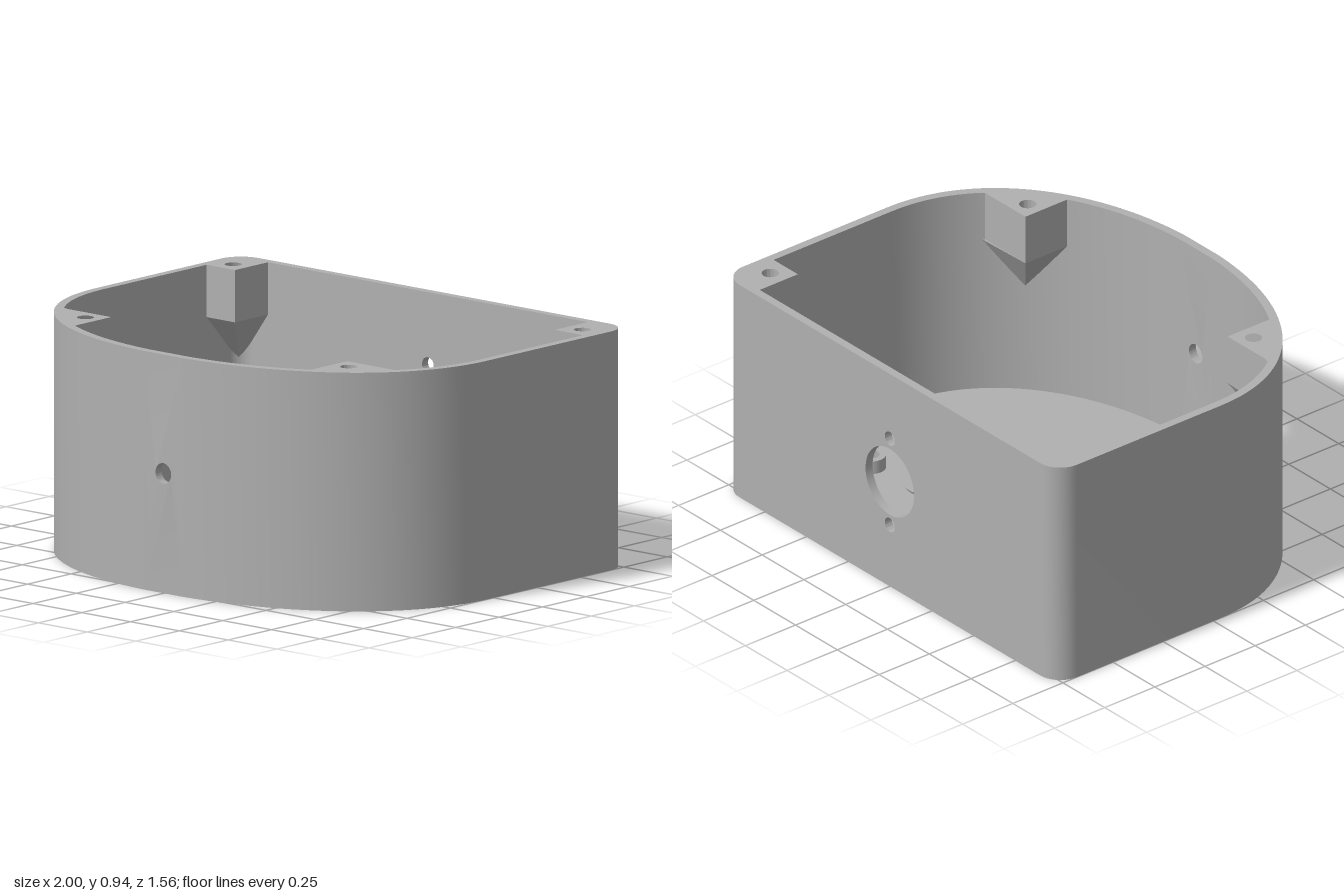
import * as THREE from 'three';
import { toCreasedNormals } from 'three/addons/utils/BufferGeometryUtils.js';
import { ConvexGeometry } from 'three/addons/geometries/ConvexGeometry.js';

const H = 0.935, T = 0.035, N = 2.15; // height, wall thickness, roundness of the front
const FRONT_Z = 0.03, BACK_Z = -0.78, PANEL_X = 0.1;
const FLOOR = [0, 0.02, 0.05, 0.075]; // floor layer heights

const v2 = (x, y) => new THREE.Vector2(x, y);

// z of the curved front at a given x
function frontZ(x, inset) {
  const u = Math.pow(Math.abs(x) / (1 - inset), N);
  return FRONT_Z + (0.75 - inset) * Math.pow(Math.max(0, 1 - u), 1 / N);
}

// Half of the plan outline, from the front at x0 round to the back corner
function halfOutline(inset, x0) {
  const a = 1 - inset, b = 0.75 - inset, pts = [];
  const t0 = Math.asin(Math.pow(x0 / a, N / 2));
  for (let i = 0; i <= 32; i++) {
    const t = t0 + (Math.PI / 2 - t0) * i / 32;
    const c = Math.max(0, Math.cos(t));
    pts.push(v2(a * Math.pow(Math.sin(t), 2 / N), FRONT_Z + b * Math.pow(c < 1e-9 ? 0 : c, 2 / N)));
  }
  const r = 0.1 - inset;
  for (let i = 0; i <= 10; i++) {
    const t = Math.PI / 2 * i / 10;
    pts.push(v2(0.9 + r * Math.cos(t), BACK_Z + 0.1 - r * Math.sin(t)));
  }
  return pts;
}

const mirror = (pts, s) => pts.map(p => v2(p.x * s, p.y));

function circle(x, y, r) {
  return new THREE.Path().absarc(x, y, r, 0, Math.PI * 2, true);
}

// Extrude a plan shape (x, z) between two heights
function slab(shape, y0, y1) {
  const g = new THREE.ExtrudeGeometry(shape, { depth: y1 - y0, bevelEnabled: false, curveSegments: 40 });
  g.rotateX(Math.PI / 2).translate(0, y1, 0);
  return toCreasedNormals(g, 0.5);
}

export function createModel() {
  const model = new THREE.Group();
  model.name = 'enclosure';
  const grey = new THREE.MeshStandardMaterial({ color: 0xb0b0b0 });
  grey.name = 'grey plastic';
  const add = (name, geometry) => {
    const m = new THREE.Mesh(geometry, grey);
    m.name = name;
    model.add(m);
  };

  // Floor in three layers: outer counterbores, through holes, inner pockets with groove
  const half = halfOutline(T - 0.002, 0);
  const floorShape = () => new THREE.Shape([...half, ...mirror(half, -1).reverse().slice(0, -1)]);
  const HX = 0.42, HZ = -0.065;
  [0.35, 0.246].forEach((r, i) => {
    const s = floorShape();
    for (const k of [-1, 1]) s.holes.push(circle(k * HX, HZ, r));
    add(i ? 'floorMiddle' : 'floorBottom', slab(s, FLOOR[i], FLOOR[i + 1]));
  });
  const pocket = [v2(0.105, -0.1), v2(0.105, 0.065)];
  const a0 = Math.atan2(0.13, -0.242), a1 = Math.atan2(-0.135, -0.24) + Math.PI * 2;
  for (let i = 0; i <= 40; i++) {
    const t = a0 + (a1 - a0 - Math.PI * 2) * i / 40;
    pocket.push(v2(HX + 0.275 * Math.cos(t), HZ + 0.275 * Math.sin(t)));
  }
  pocket.push(v2(0.105, -0.2), v2(0.105, -0.744));
  const top = floorShape();
  top.holes.push(new THREE.Path([...pocket, ...mirror(pocket, -1).reverse()]));
  add('floorTop', slab(top, FLOOR[2], FLOOR[3]));

  // Back panel with a connector hole and two screw holes
  const back = new THREE.Shape([v2(-0.9, 0), v2(0.9, 0), v2(0.9, H), v2(-0.9, H)]);
  back.holes.push(circle(0, 0.46, 0.145), circle(0, 0.65, 0.03), circle(0, 0.27, 0.03));
  const backGeo = new THREE.ExtrudeGeometry(back, { depth: T, bevelEnabled: false, curveSegments: 32 });
  add('backPanel', toCreasedNormals(backGeo.translate(0, 0, BACK_Z), 0.5));

  // Front panel with a small hole, bent to the curve of the front
  const front = new THREE.Shape([v2(-PANEL_X, 0), v2(PANEL_X, 0), v2(PANEL_X, H), v2(-PANEL_X, H)]);
  front.holes.push(circle(0, 0.47, 0.04));
  const frontGeo = new THREE.ExtrudeGeometry(front, { depth: T, bevelEnabled: false, curveSegments: 24 });
  const p = frontGeo.attributes.position;
  for (let i = 0; i < p.count; i++) p.setZ(i, frontZ(p.getX(i), p.getZ(i) > T / 2 ? 0 : T));
  frontGeo.computeVertexNormals();
  add('frontPanel', toCreasedNormals(frontGeo, 0.5));

  // Screw post outlines, each with its hole and the apex of its tapered foot
  const frontPost = [v2(0.605, 0.4), v2(0.86, 0.4)];
  for (let i = 0; i <= 8; i++) {
    const x = 0.86 - 0.255 * i / 8;
    frontPost.push(v2(x, frontZ(x, T - 0.005)));
  }
  const posts = [
    { name: 'backPost', pts: [v2(0.82, -0.75), v2(0.97, -0.75), v2(0.97, -0.555), v2(0.82, -0.555)],
      hole: [0.895, -0.63], apex: [0.97, -0.75] },
    { name: 'frontPost', pts: frontPost, hole: [0.675, 0.47], apex: [0.75, 0.52] },
  ];
  const POST_Y = H - 0.205;

  for (const s of [1, -1]) {
    const side = s > 0 ? 'left' : 'right';

    // Side wall wrapping from the front panel to the back panel
    const ring = [...halfOutline(0, PANEL_X), ...halfOutline(T, PANEL_X).reverse()];
    add(side + 'Wall', slab(new THREE.Shape(mirror(ring, s)), 0, H));

    for (const post of posts) {
      const pts = mirror(post.pts, s);
      const shape = new THREE.Shape(pts);
      shape.holes.push(circle(post.hole[0] * s, post.hole[1], 0.033));
      add(side + post.name, slab(shape, POST_Y, H));
      const hull = pts.map(q => new THREE.Vector3(q.x, POST_Y, q.y));
      hull.push(new THREE.Vector3(post.apex[0] * s, POST_Y - 0.21, post.apex[1]));
      add(side + post.name + 'Foot', new ConvexGeometry(hull));
    }

    // Hollow bosses placed diagonally about each floor hole
    for (const [x, z] of [[0.657, -0.325], [0.18, 0.19]]) {
      const boss = new THREE.Shape().absarc(x * s, z, 0.057, 0, Math.PI * 2, false);
      boss.holes.push(circle(x * s, z, 0.032));
      add(side + 'Boss', slab(boss, FLOOR[2], 0.13));
    }
  }
  return model;
}
